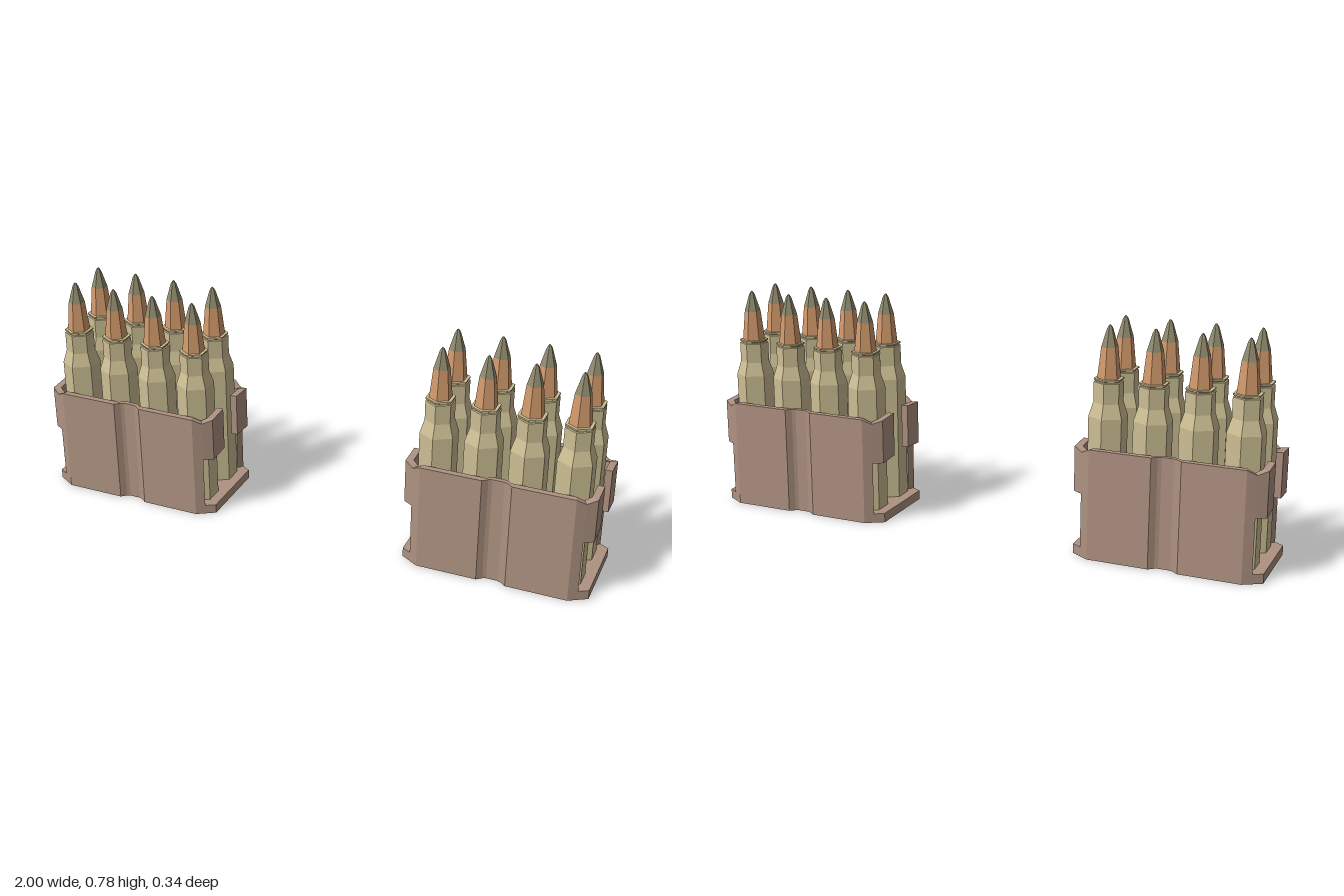
import * as THREE from 'three';

const mat = (color) => new THREE.MeshStandardMaterial({ color, flatShading: true });

// Half outline of the clip: [outer x, outer z, inner x, inner z, top y, bottom y]
const FLOOR = 0.033;
const HALF = [
  [0.02, 0.152, 0.015, 0.136, 0.38, FLOOR],
  [0.032, 0.157, 0.027, 0.138, 0.38, FLOOR],
  [0.05, 0.172, 0.042, 0.15, 0.38, FLOOR],
  [0.26, 0.172, 0.252, 0.15, 0.38, FLOOR],
  [0.29, 0.155, 0.277, 0.134, 0.363, FLOOR],
  [0.29, 0.155, 0.277, 0.134, 0.363, 0.22],
  [0.322, 0.135, 0.298, 0.122, 0.375, 0.22],
  [0.322, 0.052, 0.298, 0.052, 0.38, 0.225],
];

// Sweeps a four-cornered section through the stations of one side wall
function wallGeometry() {
  const left = HALF.map(([ox, oz, ix, iz, t, b]) => [-ox, oz, -ix, iz, t, b]).reverse();
  const rings = [...left, ...HALF].map(([ox, oz, ix, iz, t, b]) =>
    [[ox, b, oz], [ox, t, oz], [ix, t, iz], [ix, b, iz]]);
  const pos = [];
  const quad = (a, b, c, d) => pos.push(...a, ...b, ...c, ...a, ...c, ...d);
  for (let i = 0; i < rings.length - 1; i++) {
    const p = rings[i], q = rings[i + 1];
    for (let k = 0; k < 4; k++) {
      const n = (k + 1) % 4;
      quad(p[k], q[k], q[n], p[n]);
    }
  }
  quad(...rings[0]);
  quad(...[...rings[rings.length - 1]].reverse());
  const g = new THREE.BufferGeometry();
  g.setAttribute('position', new THREE.Float32BufferAttribute(pos, 3));
  g.computeVertexNormals();
  return g;
}

// Floor plate with chamfered corners and a groove on each long side
function floorGeometry() {
  const half = [...HALF.slice(0, 4), [0.322, 0.135]];
  const front = [...half.map(([x, z]) => [-x, z]).reverse(), ...half.map(([x, z]) => [x, z])];
  const outline = [...front, ...front.map(([x, z]) => [-x, -z])];
  const shape = new THREE.Shape(outline.map(([x, z]) => new THREE.Vector2(x, z)));
  return new THREE.ExtrudeGeometry(shape, { depth: FLOOR, bevelEnabled: false }).rotateX(-Math.PI / 2);
}

// Six-sided turned part from [radius, y] pairs
const turned = (profile) =>
  new THREE.LatheGeometry(profile.map(([r, y]) => new THREE.Vector2(r, y)), 6);

export function createModel() {
  const model = new THREE.Group();
  model.name = 'cartridgeClips';

  const clipMat = mat(0xae9281);
  const wallGeo = wallGeometry();
  const floorGeo = floorGeometry();
  const cartridgeParts = [
    ['case', mat(0xcdbf94), turned([
      [0, FLOOR], [0.0655, FLOOR], [0.0655, 0.475], [0.05, 0.522], [0.05, 0.59],
      [0.046, 0.592], [0.046, 0.595], [0.05, 0.597], [0.05, 0.602], [0.036, 0.602]])],
    ['bullet', mat(0xd29a6c), turned([[0.039, 0.6], [0.028, 0.705]])],
    ['bulletTip', mat(0x8f8a6e), turned([[0.028, 0.705], [0.01, 0.765], [0.004, 0.775], [0, 0.778]])],
  ];

  const add = (parent, name, geo, material) => {
    const mesh = new THREE.Mesh(geo, material);
    mesh.name = name;
    parent.add(mesh);
    return mesh;
  };

  for (const side of [1, -1]) {
    const clip = new THREE.Group();
    clip.name = side > 0 ? 'leftClip' : 'rightClip';
    clip.position.x = side * 0.678;
    model.add(clip);

    add(clip, 'floorPlate', floorGeo, clipMat);
    add(clip, 'frontWall', wallGeo, clipMat);
    add(clip, 'backWall', wallGeo, clipMat).rotation.y = Math.PI;

    // Two rows of four cartridges
    for (const z of [0.077, -0.077]) {
      for (let i = 0; i < 4; i++) {
        const cartridge = new THREE.Group();
        cartridge.name = 'cartridge';
        cartridge.position.set((i - 1.5) * 0.153, 0, z);
        for (const [name, material, geo] of cartridgeParts) add(cartridge, name, geo, material);
        clip.add(cartridge);
      }
    }
  }
  return model;
}
